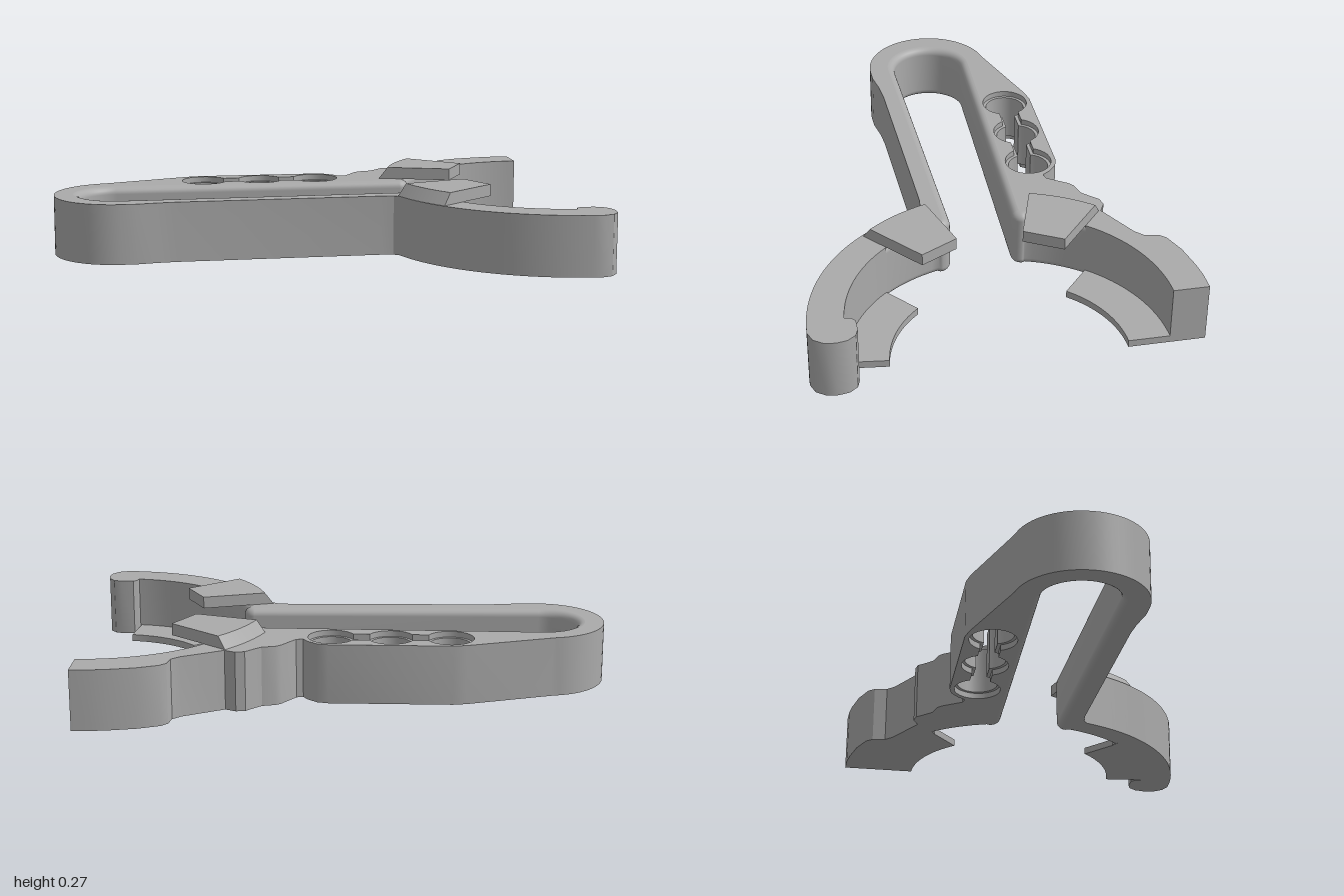
import * as THREE from 'three';
import { toCreasedNormals } from 'three/addons/utils/BufferGeometryUtils.js';

const H = 0.225;      // body height
const TOP = 0.27;     // top of the tabs
const FILLET = 0.028; // rounding along the inner edges
const JAW = [0.93, 0];
const BEND = [-0.76, 0];

// Points on an arc, angles in degrees; the radius may change from r0 to r1
function arc([cx, cy], r0, from, to, n = 16, r1 = r0) {
  return Array.from({ length: n + 1 }, (_, i) => {
    const t = i / n, a = THREE.MathUtils.degToRad(from + (to - from) * t), r = r0 + (r1 - r0) * t;
    return [cx + r * Math.cos(a), cy + r * Math.sin(a)];
  });
}
const toVectors = pts => pts.map(p => new THREE.Vector2(p[0], p[1]));

// Extrude a plan outline (x, -z) upwards from y0 to y1
function slab(outline, y0, y1, hole) {
  const shape = new THREE.Shape(toVectors(outline));
  if (hole) shape.holes.push(new THREE.Path(toVectors(hole)));
  const geo = new THREE.ExtrudeGeometry(shape, { depth: y1 - y0, bevelEnabled: false });
  return geo.rotateX(-Math.PI / 2).translate(0, y0, 0);
}

// Three round holes joined by narrow slots
function tripleHole(r, w) {
  const [a, b, c] = [-0.41, -0.19, 0.03].map(x => [x, 0.255]);
  const g = THREE.MathUtils.radToDeg(Math.asin(w / r));
  return [
    ...arc(a, r, 180, 360 - g), ...arc(b, r, 180 + g, 360 - g), ...arc(c, r, 180 + g, 540 - g, 28),
    ...arc(b, r, g, 180 - g), ...arc(a, r, g, 179),
  ];
}

// Inner wall path: jaw root, arm tip, round bend, arm tip, jaw root
const inner = [
  [JAW, 0.57, 140, 163, 8, 1],
  [[0.35, 0.16], 0.04, 0, -90, 8, -1],
  [BEND, 0.14, 90, 270, 32, 1],
  [[0.35, -0.15], 0.04, 90, 0, 8, -1],
  [JAW, 0.57, 196, 220, 8, 1],
];
const innerAt = d => inner.flatMap(([c, r, a, b, n, side]) => arc(c, r + side * d, a, b, n));

// Wall with rounded top and bottom edges, following the inner path
function innerWall() {
  const profile = [
    ...arc([FILLET, FILLET], FILLET, 270, 180, 6),
    ...arc([FILLET, H - FILLET], FILLET, 180, 90, 6),
  ];
  const rows = profile.map(([d]) => innerAt(d));
  const n = rows[0].length, m = profile.length, pos = [], idx = [];
  for (let i = 0; i < n; i++) {
    for (let j = 0; j < m; j++) {
      pos.push(rows[j][i][0], profile[j][1], -rows[j][i][1]);
      if (i < n - 1 && j < m - 1) {
        const a = i * m + j, b = a + m;
        idx.push(a, a + 1, b, b, a + 1, b + 1);
      }
    }
  }
  const geo = new THREE.BufferGeometry();
  geo.setAttribute('position', new THREE.Float32BufferAttribute(pos, 3));
  geo.setIndex(idx);
  geo.computeVertexNormals();
  return geo;
}

// Raised sector over the jaw root, sloped on its outer side
function tabGeometry(from, to) {
  const geo = slab([...arc(JAW, 0.68, from, to, 12), ...arc(JAW, 0.4, to, from, 1)], H, TOP);
  const p = geo.attributes.position;
  for (let i = 0; i < p.count; i++) {
    const dx = p.getX(i) - JAW[0], z = p.getZ(i);
    if (p.getY(i) > TOP - 0.01 && Math.hypot(dx, z) > 0.6) {
      p.setX(i, JAW[0] + dx * 0.95);
      p.setZ(i, z * 0.95);
    }
  }
  return geo;
}

export function createModel() {
  const group = new THREE.Group();
  const grey = new THREE.MeshStandardMaterial({ color: 0xaaaaaa });
  grey.name = 'grey plastic';
  const add = (name, geo, crease = 0.5) => {
    const mesh = new THREE.Mesh(crease ? toCreasedNormals(geo, crease) : geo, grey);
    mesh.name = name;
    group.add(mesh);
  };

  // Body: back arm and jaw, inner edge, front jaw and arm, round bend
  const outline = [
    [-0.79, 0.24], [-0.47, 0.35], [-0.42, 0.36], [0.04, 0.36], [0.08, 0.35], [0.115, 0.32],
    [0.135, 0.29], [0.16, 0.295], [0.21, 0.37], [0.23, 0.387], [0.28, 0.4], [0.305, 0.425],
    [0.335, 0.458], [0.37, 0.465], [0.41, 0.445], [0.56, 0.53], [0.59, 0.56], [0.598, 0.61],
    [0.62, 0.635], [0.7, 0.668], [0.8, 0.69], [0.86, 0.698], [0.93, 0.7],
    ...arc(JAW, 0.57, 90, 140),
    ...innerAt(FILLET),
    ...arc(JAW, 0.57, 220, 264),
    [0.875, -0.545], [0.89, -0.53], [0.94, -0.53], [0.97, -0.54], [0.993, -0.57], [1, -0.61],
    [0.995, -0.65], [0.97, -0.685],
    ...arc(JAW, 0.7, 270, 199, 24, 0.68),
    [0.265, -0.205], [0.22, -0.2], [-0.55, -0.22], [-0.62, -0.227], [-0.7, -0.242],
    ...arc(BEND, 0.243, 270, 180, 16, 0.24), ...arc(BEND, 0.24, 174, 100, 14),
  ];
  add('clipBody', slab(outline, 0, H, tripleHole(0.088, 0.038)));
  add('roundedInnerWall', innerWall(), 0);

  // Narrower rim recessed inside the three joined holes
  add('holeRim', slab(tripleHole(0.088, 0.038), 0.022, H - 0.022, tripleHole(0.076, 0.025)));

  // Thin lips along the bottom of the jaws
  const lip = (from, to) => slab([...arc(JAW, 0.575, from, to), ...arc(JAW, 0.42, to, from)], 0, 0.027);
  add('backJawLip', lip(90, 139.5));
  add('frontJawLip', lip(220.5, 263.5));

  // Raised tabs that overhang the jaw roots
  add('backTab', tabGeometry(140, 162.5));
  add('frontTab', tabGeometry(197.5, 220));
  return group;
}
